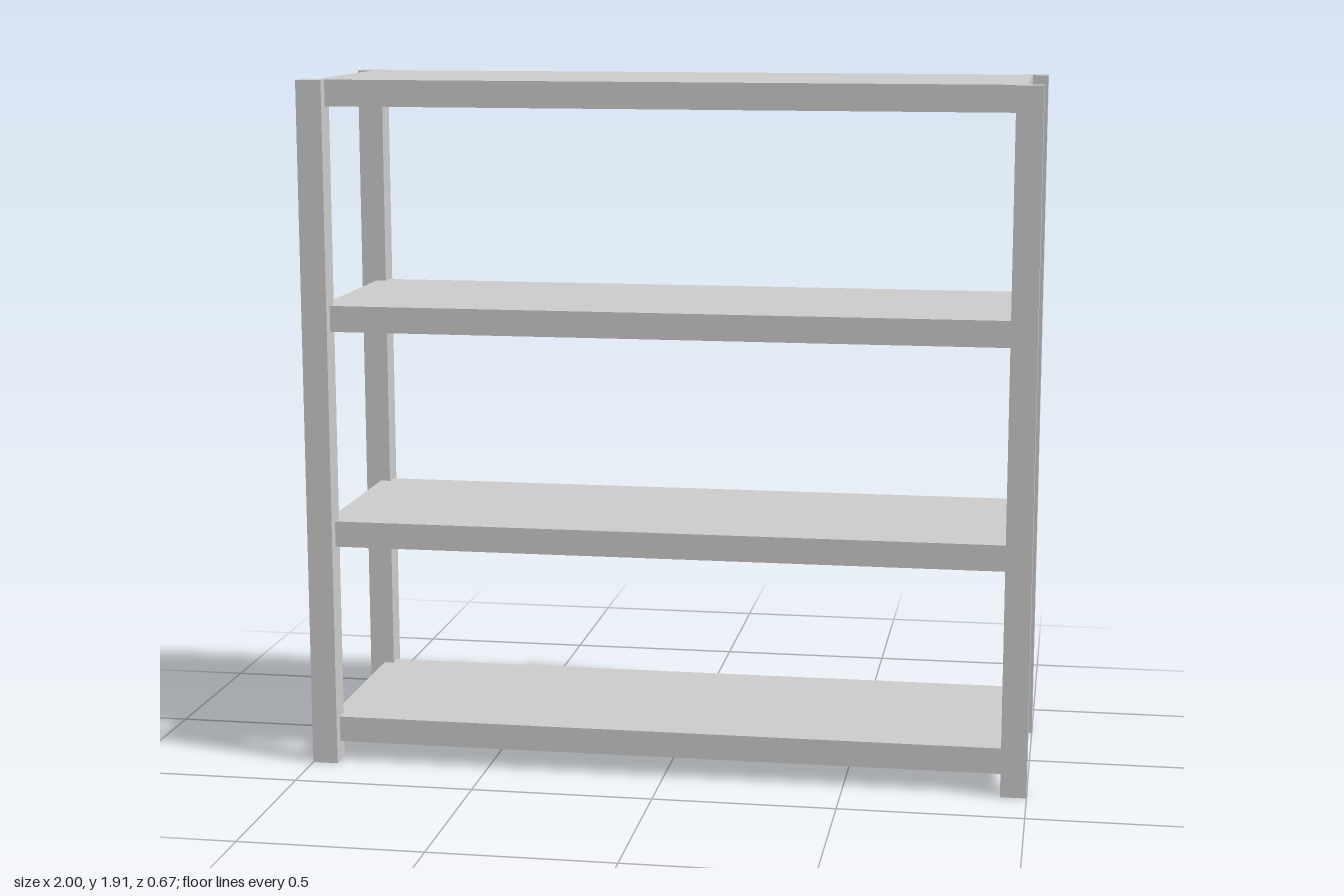
import * as THREE from 'three';

const material = new THREE.MeshStandardMaterial({ color: 0xcccccc });

function addBox(parent, name, size, position) {
  const mesh = new THREE.Mesh(new THREE.BoxGeometry(...size), material);
  mesh.name = name;
  mesh.position.set(...position);
  parent.add(mesh);
}

export function createModel() {
  const model = new THREE.Group();
  model.name = 'shelvingUnit';

  const height = 1.915;
  const post = 0.071;
  const halfWidth = 1;
  const halfDepth = 0.335;

  // Four square corner posts
  for (const [side, sx] of [['Left', 1], ['Right', -1]]) {
    for (const [end, sz] of [['front', 1], ['back', -1]]) {
      addBox(model, `${end}${side}Post`, [post, height, post],
        [sx * (halfWidth - post / 2), height / 2, sz * (halfDepth - post / 2)]);
    }
  }

  // Shelves let into the posts, the top one flush with the post tops
  const thickness = 0.072;
  [0.127, 0.692, 1.298, height].forEach((top, i) => {
    addBox(model, `shelf${i + 1}`, [1.914, thickness, 0.605], [0, top - thickness / 2, 0]);
  });

  return model;
}
